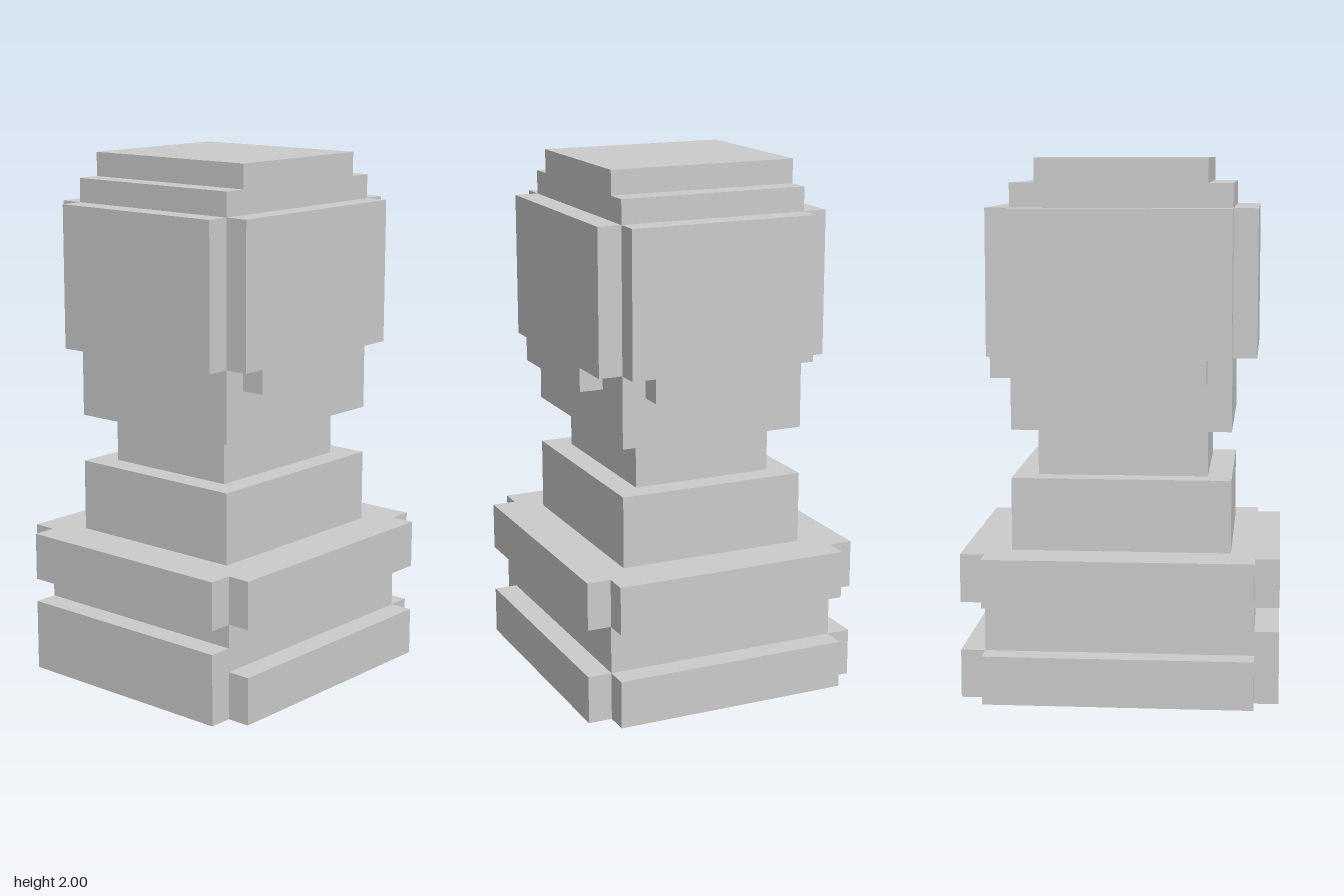
import * as THREE from 'three';

// One block is 1/11 unit; all sizes below are in blocks.
const U = 1 / 11;

export function createModel() {
  const group = new THREE.Group();
  const material = new THREE.MeshStandardMaterial({ color: 0xcccccc, flatShading: true });

  // Box given by its [min, max] range along each axis
  function block(name, [x0, x1], [y0, y1], [z0, z1]) {
    const geometry = new THREE.BoxGeometry((x1 - x0) * U, (y1 - y0) * U, (z1 - z0) * U);
    const mesh = new THREE.Mesh(geometry, material);
    mesh.name = name;
    mesh.position.set((x0 + x1) / 2 * U, (y0 + y1) / 2 * U, (z0 + z1) / 2 * U);
    group.add(mesh);
  }

  // Centred box from half width, height range and half depth
  const tier = (name, hx, y, hz) => block(name, [-hx, hx], y, [-hz, hz]);

  // Mirrored one-block slabs on the left and right of a core
  function sideSlabs(name, hx, y, z) {
    block(name + 'Left', [hx, hx + 1], y, z);
    block(name + 'Right', [-hx - 1, -hx], y, z);
  }

  // Stacked cores, bottom to top
  tier('pedestal', 5, [0, 6], 5.5);
  tier('lowerBody', 4, [6, 9], 4.5);
  tier('neck', 3, [9, 11], 3.5);
  tier('head', 4, [11, 21], 4.5);
  tier('headCap', 4, [21, 22], 3.5);

  // Foot slabs, taller at the front
  sideSlabs('foot', 5, [0, 2], [-5.5, 5.5]);
  block('footFront', [-5, 5], [0, 3], [5.5, 6.5]);
  block('footBack', [-5, 5], [0, 2], [-6.5, -5.5]);

  // Rim slabs at the top of the pedestal
  sideSlabs('rim', 5, [4, 6], [-5.5, 5.5]);
  block('rimFront', [-5, 5], [4, 6], [5.5, 6.5]);
  block('rimBack', [-5, 5], [4, 6], [-6.5, -5.5]);

  // Head panels; sides and back have a lower step
  sideSlabs('headPanel', 4, [14, 20], [-4.5, 4.5]);
  sideSlabs('headPanelStep', 4, [13, 14], [-2.5, 3.5]);
  block('headPanelFront', [-4, 4], [14, 20], [4.5, 5.5]);
  block('headPanelBack', [-4, 4], [14, 20], [-5.5, -4.5]);
  block('headPanelStepBack', [-3, 3], [13, 14], [-5.5, -4.5]);

  return group;
}
